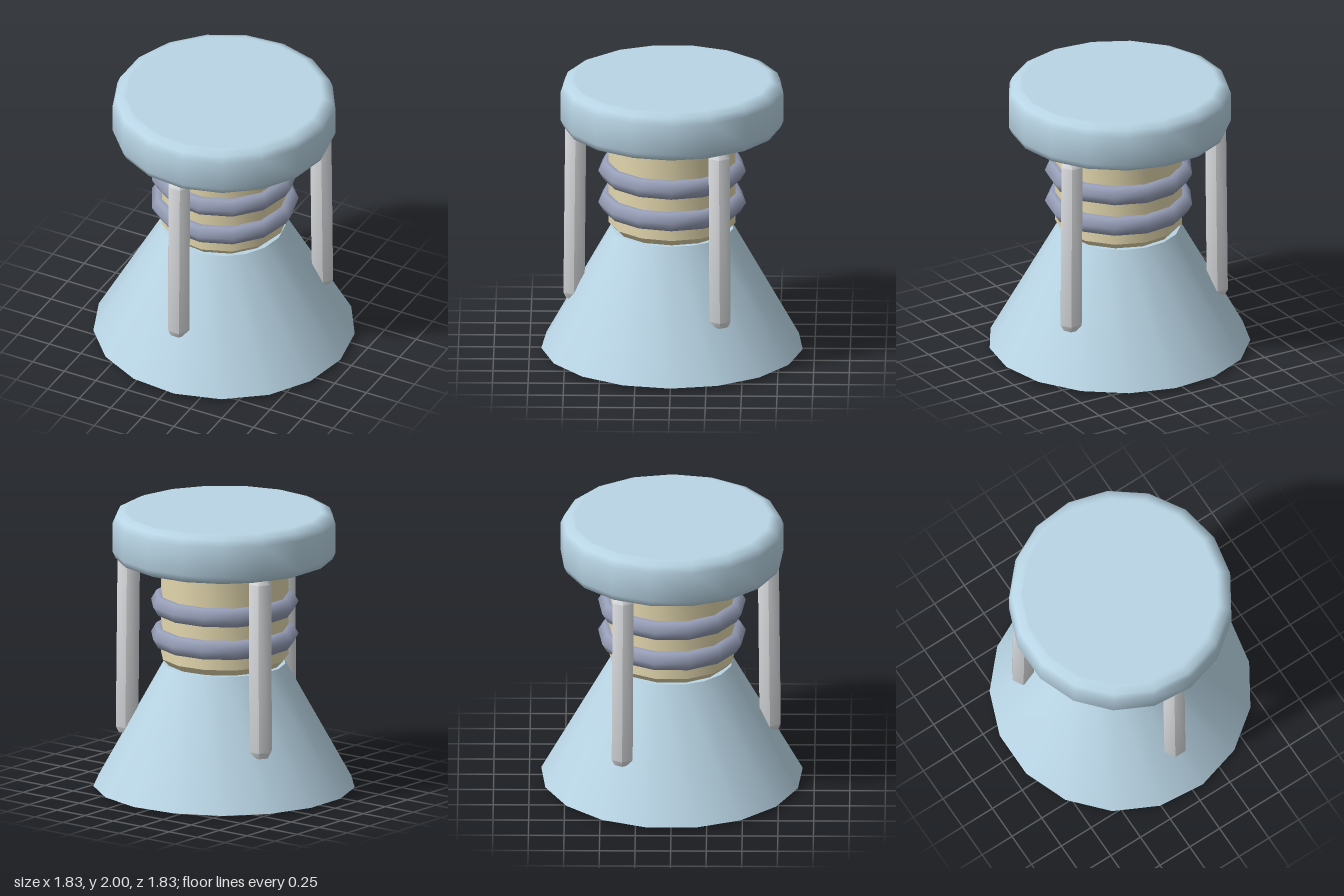
import * as THREE from 'three';
import { toCreasedNormals } from 'three/addons/utils/BufferGeometryUtils.js';

const material = (name, color) => {
  const m = new THREE.MeshStandardMaterial({ color });
  m.name = name;
  return m;
};

// Turned part with one corner on +x; profile runs bottom to top for outward faces
function turned(name, profile, sides, mat, crease = 0.62) {
  const points = profile.map(([r, y]) => new THREE.Vector2(r, y));
  const geometry = toCreasedNormals(new THREE.LatheGeometry(points, sides, Math.PI / 2), crease);
  const mesh = new THREE.Mesh(geometry, mat);
  mesh.name = name;
  return mesh;
}

export function createModel() {
  const paleBlue = material('pale blue', 0xb9d5e5);
  const sand = material('sand', 0xe3d7ae);
  const slate = material('slate', 0x98a0b9);
  const lightGrey = material('light grey', 0xdbdde0);
  const teal = material('teal', 0x6abdd0);

  const model = new THREE.Group();
  model.name = 'engine';
  const body = new THREE.Group();
  body.name = 'engineBody';
  body.position.x = -0.008;
  model.add(body);

  // Flared nozzle: shell, lip and lining
  body.add(
    turned('nozzleShell', [[0.921, 0.022], [0.432, 0.904], [0, 0.904]], 17, paleBlue),
    turned('nozzleLip', [[0.843, 0], [0.921, 0.022]], 17, sand),
    turned('nozzleLining', [[0, 0.87], [0.35, 0.87], [0.843, 0]], 17, teal)
  );

  // Chamber with bevelled ends
  body.add(turned('chamber', [
    [0, 0.905], [0.405, 0.905], [0.45, 0.953], [0.45, 1.64], [0.435, 1.66], [0, 1.66]
  ], 13, sand));

  // Two hexagonal-section rings around the chamber
  for (const y of [1.103, 1.338]) {
    const ring = new THREE.Mesh(new THREE.TorusGeometry(0.447, 0.075, 6, 13), slate);
    ring.name = 'coolingRing';
    ring.rotation.x = Math.PI / 2;
    ring.position.y = y;
    body.add(ring);
  }

  // Cap with softly rounded rims
  body.add(turned('cap', [
    [0, 1.648], [0.69, 1.648], [0.715, 1.648], [0.764, 1.668], [0.785, 1.715],
    [0.785, 1.925], [0.764, 1.975], [0.71, 2], [0.69, 2], [0, 2]
  ], 17, paleBlue, 1.2));

  // Three hexagonal struts, leaning slightly outward at the foot
  const strutProfile = [
    [0, -0.65], [0.062, -0.65], [0.085, -0.605], [0.085, 0.605], [0.062, 0.65], [0, 0.65]
  ];
  for (let i = 0; i < 3; i++) {
    const arm = new THREE.Group();
    arm.name = 'strutMount';
    arm.rotation.y = (i * Math.PI * 2) / 3;
    const strut = turned('strut', strutProfile, 6, lightGrey, 1.06);
    strut.position.set(0, 1.025, 0.683);
    strut.rotation.x = -0.01;
    arm.add(strut);
    body.add(arm);
  }

  return model;
}
